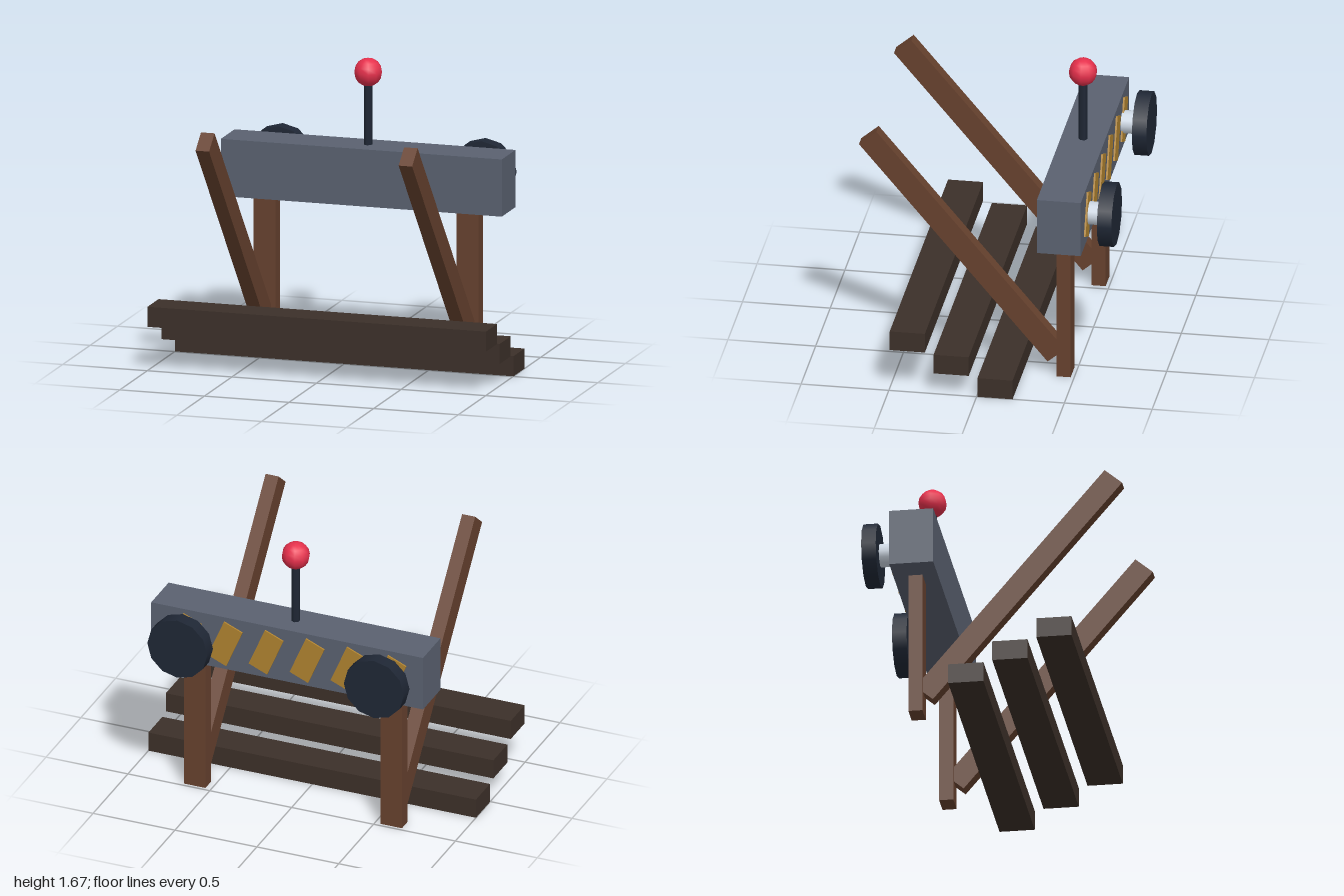
import * as THREE from 'three';

const paint = (color) => new THREE.MeshStandardMaterial({ color });

export function createModel() {
  const model = new THREE.Group();
  const timber = paint(0x66412e);
  const darkTimber = paint(0x3c3029);
  const slate = paint(0x5a6170);
  const black = paint(0x1f2735);
  const steel = paint(0xcbd5e1);
  const red = paint(0xe6304c);
  const gold = paint(0xb08330);

  const add = (name, geometry, material, x, y, z, rx = 0, rz = 0) => {
    const mesh = new THREE.Mesh(geometry, material);
    mesh.name = name;
    mesh.position.set(x, y, z);
    mesh.rotation.set(rx, 0, rz);
    model.add(mesh);
  };

  // Cross beam
  add('crossBeam', new THREE.BoxGeometry(1.66, 0.33, 0.25), slate, 0, 1.005, -0.44);

  // Sleepers, stepping up towards the front
  const sleeper = new THREE.BoxGeometry(2, 0.116, 0.2);
  for (let i = 0; i < 3; i++) {
    add('sleeper', sleeper, darkTimber, 0, 0.058 + i * 0.126, -0.105 + i * 0.25);
  }

  // Posts, slanted braces and buffers, mirrored left and right
  const post = new THREE.BoxGeometry(0.13, 0.84, 0.08);
  const brace = new THREE.BoxGeometry(0.08, 1.664, 0.13);
  const shaft = new THREE.CylinderGeometry(0.066, 0.066, 0.1, 12);
  const disc = new THREE.CylinderGeometry(0.183, 0.183, 0.083, 12);
  for (const [side, x] of [['left', 0.6], ['right', -0.6]]) {
    add(side + 'Post', post, timber, x, 0.42, -0.44);
    add(side + 'Brace', brace, timber, x, 0.753, 0.143, 0.702);
    add(side + 'BufferShaft', shaft, steel, x, 1.003, -0.61, Math.PI / 2);
    add(side + 'BufferDisc', disc, black, x, 1.003, -0.69, Math.PI / 2);
  }

  // Slanted warning stripes on the back of the beam
  const stripe = new THREE.BoxGeometry(0.122, 0.252, 0.01);
  for (let i = 0; i < 6; i++) {
    add('warningStripe', stripe, gold, (i - 2.5) * 0.25, 1.005, -0.571, 0, 0.4);
  }

  // Lamp on its pole
  add('lampPole', new THREE.CylinderGeometry(0.025, 0.025, 0.4, 6), black, 0, 1.36, -0.44);
  add('lamp', new THREE.SphereGeometry(0.081, 10, 8), red, 0, 1.588, -0.44);

  return model;
}
